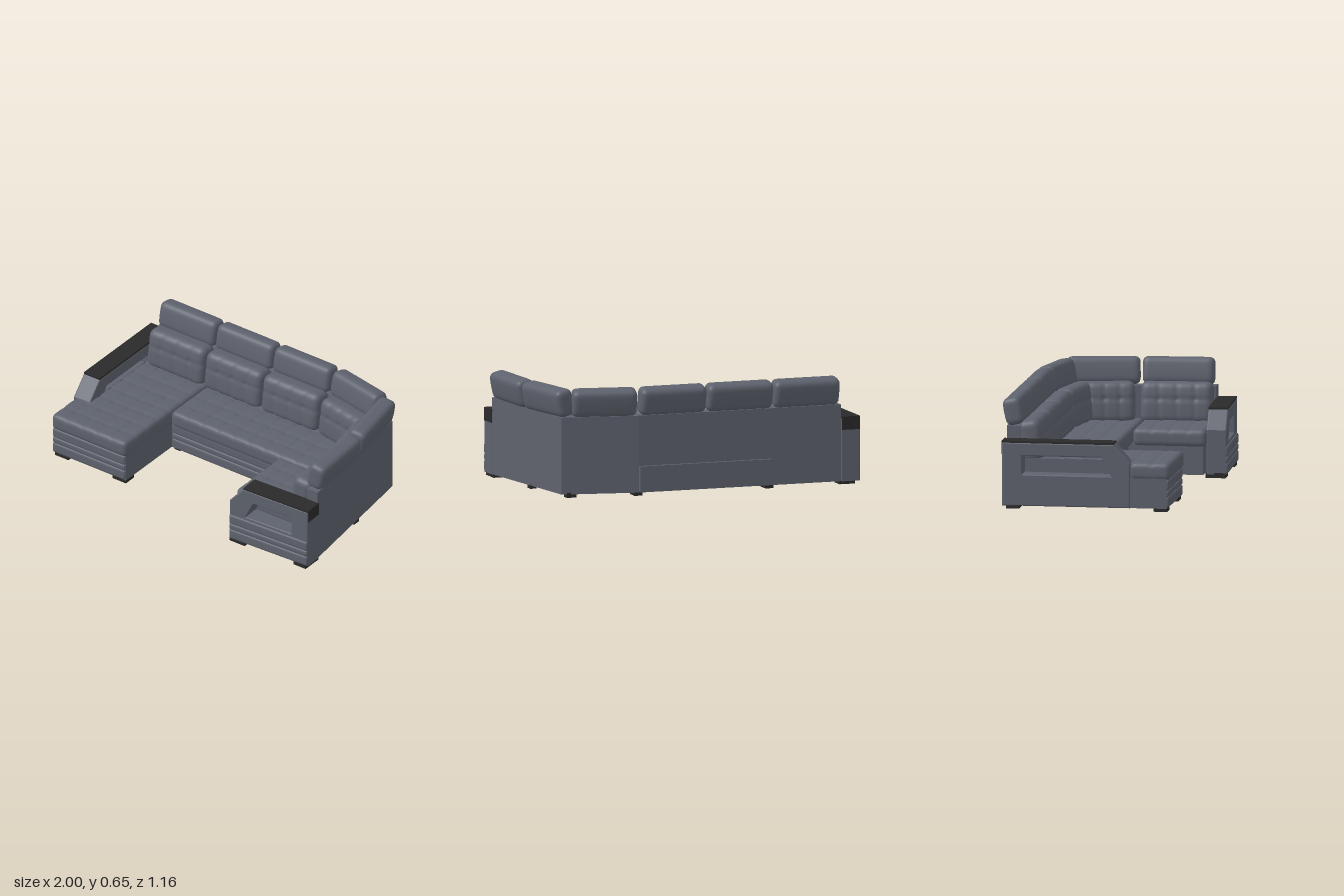
import * as THREE from 'three';
import { mergeVertices } from 'three/addons/utils/BufferGeometryUtils.js';

const fabric = new THREE.MeshStandardMaterial({ color: 0x5e626d });
fabric.name = 'greyFabric';
const dark = new THREE.MeshStandardMaterial({ color: 0x2a2a2a });
dark.name = 'darkWood';

function add(parent, name, geometry, material, x = 0, y = 0, z = 0) {
  const mesh = new THREE.Mesh(geometry, material);
  mesh.name = name;
  mesh.position.set(x, y, z);
  parent.add(mesh);
  return mesh;
}

function box(parent, name, material, x0, x1, y0, y1, z0, z1) {
  return add(parent, name, new THREE.BoxGeometry(x1 - x0, y1 - y0, z1 - z0), material,
    (x0 + x1) / 2, (y0 + y1) / 2, (z0 + z1) / 2);
}

// Soft rounded block; rule(v) may then move each vertex
function softBlock(w, h, d, r, step, rule) {
  const seg = (s) => Math.max(4, Math.round(s / step));
  let g = new THREE.BoxGeometry(w, h, d, seg(w), seg(h), seg(d));
  g.deleteAttribute('uv');
  g.deleteAttribute('normal');
  g = mergeVertices(g, 1e-5);
  const p = g.attributes.position;
  const v = new THREE.Vector3(), core = new THREE.Vector3();
  const lim = new THREE.Vector3(w / 2 - r, h / 2 - r, d / 2 - r);
  for (let i = 0; i < p.count; i++) {
    v.fromBufferAttribute(p, i);
    core.copy(v).clamp(lim.clone().negate(), lim);
    v.sub(core).setLength(r).add(core);
    if (rule) rule(v);
    p.setXYZ(i, v.x, v.y, v.z);
  }
  g.computeVertexNormals();
  return g;
}

// Depth of the stitched grooves at (a, b), n by m pockets over a size of s by t
function tuft(a, b, s, t, n, m) {
  const near = (q, size, count) => {
    const pitch = size / count, u = (q + size / 2) / pitch;
    const k = Math.round(u);
    return k < 1 || k > count - 1 ? 0 : Math.exp(-(((u - k) * pitch / 0.013) ** 2));
  };
  const ga = near(a, s, n), gb = near(b, t, m);
  return 0.004 * Math.max(ga, gb) + 0.009 * ga * gb;
}

function seat(parent, name, x0, x1, z0, z1, n, m, rule) {
  const w = x1 - x0, d = z1 - z0, h = 0.105, cx = (x0 + x1) / 2, cz = (z0 + z1) / 2;
  const g = softBlock(w, h, d, 0.03, 0.0125, (v) => {
    if (v.y > 0.02) v.y -= tuft(v.x, v.z, w, d, n, m);
    if (rule) rule(v, cx, cz);
  });
  add(parent, name, g, fabric, cx, 0.24, cz);
}

// Lower back cushion with a headrest above, facing local +z from the wall line
function backUnit(parent, x, z, angle, w, lowerW = w) {
  const unit = new THREE.Group();
  unit.name = 'backUnit';
  unit.position.set(x, 0, z);
  unit.rotation.y = angle;
  const lower = softBlock(lowerW, 0.25, 0.125, 0.042, 0.0125, (v) => {
    if (v.z > 0) v.z += 0.01 * Math.cos(v.y * 10) - 1.2 * tuft(v.x, v.y - 0.02, lowerW, 0.25, 4, 2);
  });
  add(unit, 'backCushion', lower, fabric, 0, 0.39, 0.138).rotation.x = -0.12;
  const head = softBlock(w, 0.165, 0.1, 0.034, 0.0125, (v) => {
    v.z += 0.008 * Math.sign(v.z) * Math.cos(v.y * 15);
  });
  add(unit, 'headrest', head, fabric, 0, 0.566, 0.035).rotation.x = -0.2;
  parent.add(unit);
}

// Open armrest running along local +x, sloped at its front end
function arm(parent, name, length, x, z, angle, pleated) {
  const group = new THREE.Group();
  group.name = name;
  group.position.set(x, 0, z);
  group.rotation.y = angle;
  const pts = (list) => list.map(([a, b]) => new THREE.Vector2(a, b));
  const b = 0.008, end = length - b;
  const shape = new THREE.Shape(pts([[b, 0.028], [end, 0.028], [end, 0.392], [0.105, 0.392], [b, 0.285]]));
  shape.holes.push(new THREE.Path(pts([[0.105, 0.202], [0.165, 0.328], [length - 0.112, 0.328], [length - 0.112, 0.202]])));
  const g = new THREE.ExtrudeGeometry(shape, {
    depth: 0.12 - 2 * b, bevelThickness: b, bevelSize: b, bevelSegments: 3,
  });
  add(group, 'armFrame', g, fabric, 0, 0, b);
  box(group, 'armTop', dark, 0.1, length + 0.003, 0.398, 0.41, 0.002, 0.118);
  box(group, 'armEndTrim', dark, length - 0.005, length + 0.003, 0.33, 0.4, 0.004, 0.116);
  if (pleated) pleats(group, 0, length, 0.118);
  parent.add(group);
}

// Three stacked padded bands on a front panel
function pleats(parent, x0, x1, z) {
  [[0.025, 0.09], [0.09, 0.13], [0.13, 0.192]].forEach(([y0, y1]) => {
    add(parent, 'pleatBand', softBlock(x1 - x0, y1 - y0, 0.024, 0.011, 0.008), fabric,
      (x0 + x1) / 2, (y0 + y1) / 2, z);
  });
}

// Upright prism over a floor outline given as [x, z]
function prism(parent, name, outline, y0, y1) {
  const shape = new THREE.Shape(outline.map(([x, z]) => new THREE.Vector2(x, -z)));
  const g = new THREE.ExtrudeGeometry(shape, { depth: y1 - y0, bevelEnabled: false });
  g.rotateX(-Math.PI / 2);
  add(parent, name, g, fabric, 0, y0, 0);
}

export function createModel() {
  const sofa = new THREE.Group();
  sofa.name = 'cornerSofa';

  // Base and outer walls
  prism(sofa, 'base', [[-0.985, -0.55], [0.4, -0.55], [0.86, -0.465], [0.97, 0.43], [0.39, 0.43],
    [0.39, -0.03], [-0.45, -0.03], [-0.45, 0.43], [-0.985, 0.43]], 0.02, 0.2);
  prism(sofa, 'backWall', [[-0.88, -0.55], [0.4, -0.55], [0.86, -0.465], [0.97, 0.43], [0.89, 0.43],
    [0.79, -0.4], [0.39, -0.47], [-0.88, -0.47]], 0.02, 0.483);
  box(sofa, 'rearPanel', fabric, -0.44, 0.4, 0.03, 0.18, -0.573, -0.545);

  // Padded front panels
  pleats(sofa, -0.985, -0.452, 0.43);
  pleats(sofa, -0.44, 0.385, -0.028);

  // Tufted seats; the chaise is notched around its armrest
  seat(sofa, 'chaiseSeat', -0.99, -0.44, -0.45, 0.45, 5, 8, (v, cx, cz) => {
    if (v.z + cz < 0.21) v.x = Math.max(v.x, -0.882 - cx);
  });
  seat(sofa, 'middleSeat', -0.437, 0.83, -0.45, 0.005, 11, 4);
  seat(sofa, 'sideSeat', 0.375, 0.88, 0.008, 0.45, 5, 4);

  // Back cushions along the rear, the angled corner and the side
  [-0.665, -0.243, 0.18].forEach((x) => backUnit(sofa, x, -0.55, 0, 0.415));
  backUnit(sofa, 0.605, -0.515, -0.19, 0.39, 0.35);
  backUnit(sofa, 0.9, -0.25, -1.39, 0.44, 0.37);
  backUnit(sofa, 0.958, 0.2, -1.51, 0.43);

  // Armrests
  arm(sofa, 'rightEndArm', 0.77, -1, 0.21, Math.PI / 2, false);
  arm(sofa, 'leftEndArm', 0.56, 0.413, 0.447, 0.045, true);

  // Feet: [x, z, width, depth]
  [[-0.925, 0.39, 0.1, 0.08], [-0.5, 0.39, 0.1, 0.08], [-0.925, -0.5, 0.1, 0.08], [-0.43, -0.5, 0.05, 0.08],
    [-0.42, -0.07, 0.04, 0.05], [0.4, -0.07, 0.04, 0.05], [0.4, -0.5, 0.05, 0.08], [0.8, -0.45, 0.06, 0.05],
    [0.89, -0.04, 0.04, 0.05], [0.47, 0.5, 0.11, 0.12], [0.92, 0.48, 0.09, 0.13]].forEach(([x, z, w, d]) =>
    box(sofa, 'foot', dark, x - w / 2, x + w / 2, 0, 0.03, z - d / 2, z + d / 2));

  return sofa;
}
